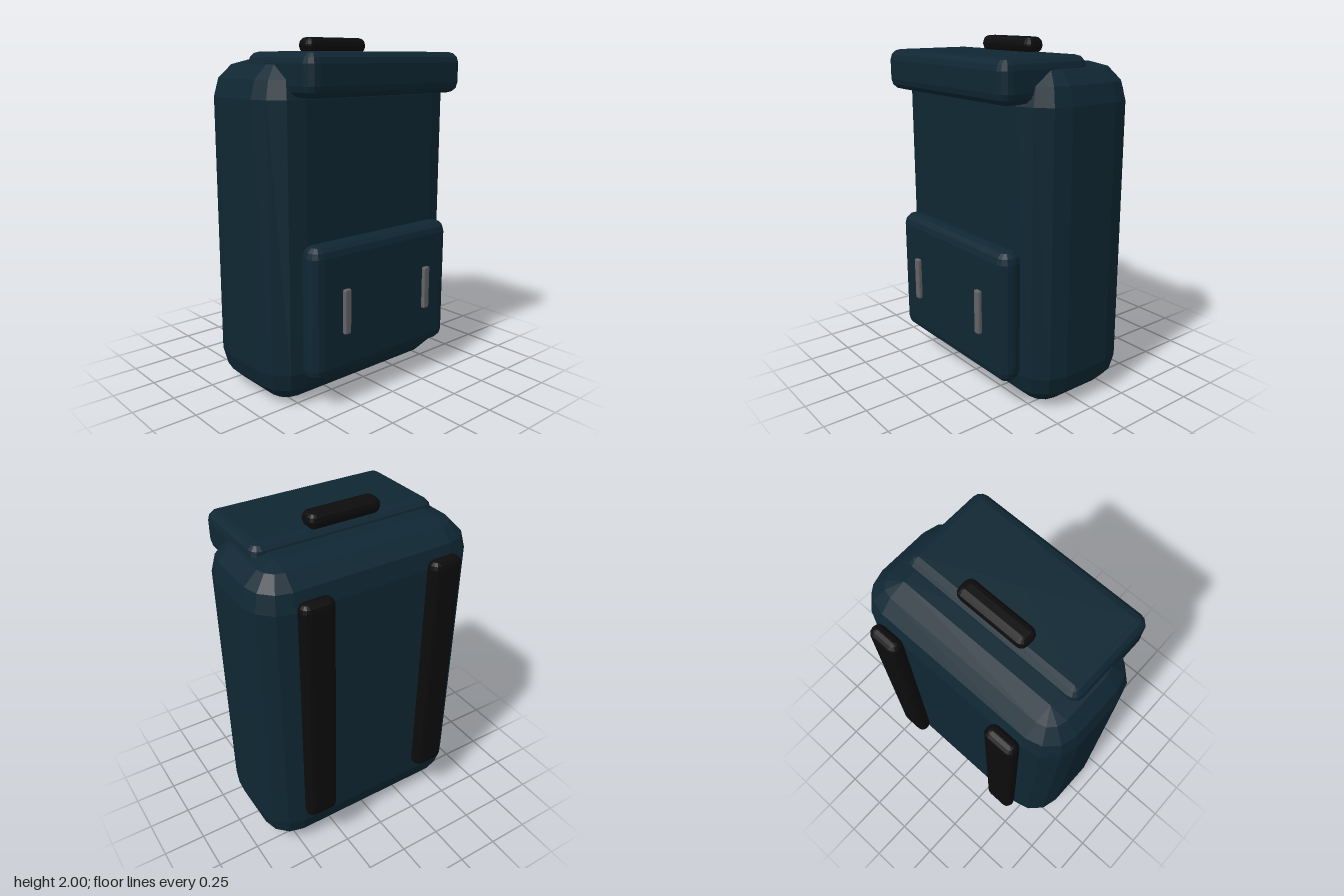
import * as THREE from 'three';

// Box with bevelled edges: stacked rounded-rectangle rings, flat facets.
// min and max are opposite corners, r the bevel radius, n the steps per bevel.
function bevelBox(min, max, r, n) {
  const c = min.map((v, i) => (v + max[i]) / 2);
  const h = min.map((v, i) => (max[i] - v) / 2 - r);
  const rings = [];
  for (const sy of [-1, 1]) {
    for (let j = 0; j <= n; j++) {
      const t = (sy < 0 ? j / n - 1 : j / n) * Math.PI / 2;
      const ring = [];
      for (let q = 0; q < 4; q++) {
        const sx = q === 0 || q === 3 ? 1 : -1;
        const sz = q < 2 ? 1 : -1;
        for (let k = 0; k <= n; k++) {
          const a = (q + k / n) * Math.PI / 2;
          ring.push(new THREE.Vector3(
            c[0] + sx * h[0] + r * Math.cos(t) * Math.cos(a),
            c[1] + sy * h[1] + r * Math.sin(t),
            c[2] + sz * h[2] + r * Math.cos(t) * Math.sin(a)));
        }
      }
      rings.push(ring);
    }
  }
  const pos = [];
  const tri = (a, b, d) => {
    if (Math.min(a.distanceTo(b), b.distanceTo(d), d.distanceTo(a)) < 1e-6) return;
    for (const p of [a, b, d]) pos.push(p.x, p.y, p.z);
  };
  const count = rings[0].length;
  const bottom = new THREE.Vector3(c[0], min[1], c[2]);
  const top = new THREE.Vector3(c[0], max[1], c[2]);
  const last = rings[rings.length - 1];
  for (let i = 0; i < count; i++) {
    const k = (i + 1) % count;
    for (let j = 0; j < rings.length - 1; j++) {
      const lo = rings[j], up = rings[j + 1];
      tri(lo[i], up[i], up[k]);
      tri(lo[i], up[k], lo[k]);
    }
    tri(bottom, rings[0][i], rings[0][k]);
    tri(top, last[k], last[i]);
  }
  const geometry = new THREE.BufferGeometry();
  geometry.setAttribute('position', new THREE.Float32BufferAttribute(pos, 3));
  geometry.computeVertexNormals();
  return geometry;
}

export function createModel() {
  const group = new THREE.Group();
  const material = (name, color) => {
    const m = new THREE.MeshStandardMaterial({ color });
    m.name = name;
    return m;
  };
  const fabric = material('navy fabric', 0x0f2733);
  const webbing = material('black webbing', 0x0c0c0c);
  const metal = material('grey metal', 0x636368);

  const add = (name, min, max, r, n, mat) => {
    const mesh = new THREE.Mesh(bevelBox(min, max, r, n), mat);
    mesh.name = name;
    group.add(mesh);
  };

  // Main bag, overhanging lid and front pocket
  add('body', [-0.675, 0, -0.38], [0.675, 1.88, 0.32], 0.2, 3, fabric);
  add('lid', [-0.56, 1.69, -0.105], [0.56, 1.92, 0.465], 0.06, 3, fabric);
  add('frontPocket', [-0.52, 0.175, 0.29], [0.52, 0.93, 0.435], 0.065, 3, fabric);

  // Carry handle on the lid
  add('handle', [-0.22, 1.91, -0.09], [0.22, 2, 0.03], 0.04, 3, webbing);

  // Paired shoulder straps at the back and buckles at the front
  for (const [side, s] of [['left', 1], ['right', -1]]) {
    const x = 0.39 * s, b = 0.31 * s;
    add(side + 'ShoulderStrap', [x - 0.097, 0.29, -0.465], [x + 0.097, 1.75, -0.375], 0.042, 3, webbing);
    add(side + 'Buckle', [b - 0.022, 0.425, 0.438], [b + 0.022, 0.68, 0.465], 0.008, 2, metal);
  }
  return group;
}
